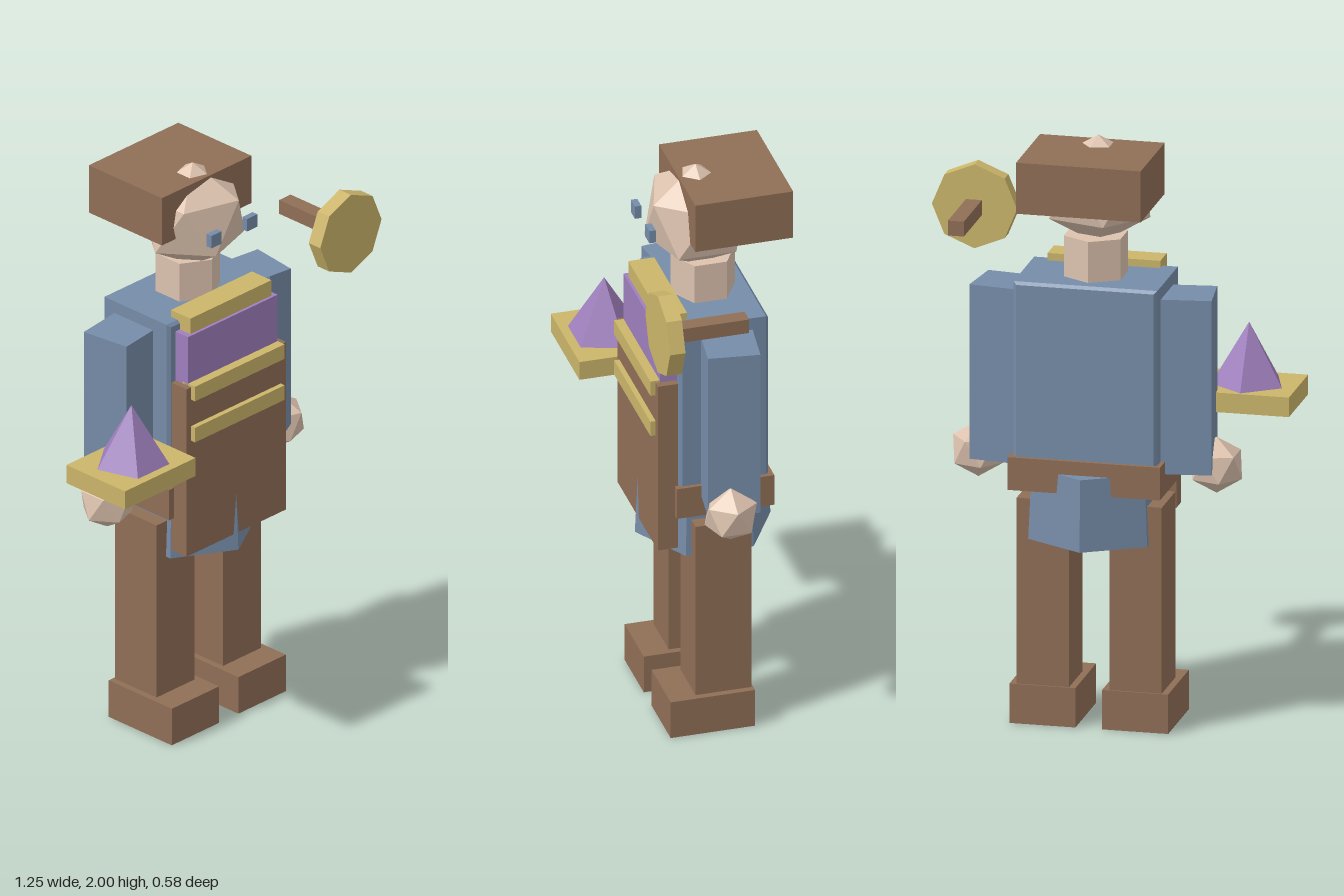
import * as THREE from 'three';

const mat = (name, color) => Object.assign(
  new THREE.MeshStandardMaterial({ color, flatShading: true }), { name });

export function createModel() {
  const brown = mat('brown leather', 0x8f6e56);
  const blue = mat('blue cloth', 0x768ca8);
  const gold = mat('gold', 0xcbb56a);
  const purple = mat('purple', 0x9f7fbd);
  const skin = mat('skin', 0xdcc2ae);

  const CX = 0.01; // body centre line
  const model = new THREE.Group();
  model.name = 'figure';

  const add = (name, geometry, material, x, y, z) => {
    const mesh = new THREE.Mesh(geometry, material);
    mesh.name = name;
    mesh.position.set(x, y, z);
    model.add(mesh);
    return mesh;
  };
  // box given by its min and max on each axis
  const box = (name, material, [x0, x1], [y0, y1], [z0, z1]) =>
    add(name, new THREE.BoxGeometry(x1 - x0, y1 - y0, z1 - z0), material,
      (x0 + x1) / 2, (y0 + y1) / 2, (z0 + z1) / 2);
  // icosahedron standing on a corner
  const ico = (r) => new THREE.IcosahedronGeometry(r, 0)
    .rotateZ(-Math.atan(2 / (1 + Math.sqrt(5))));

  // legs, boots, arms, hands and eyes, one set per side
  for (const s of [-1, 1]) {
    const side = s < 0 ? 'right' : 'left';
    const at = (a, b) => [CX + s * a, CX + s * b].sort((p, q) => p - q);
    box(side + 'Boot', brown, at(0.045, 0.268), [0, 0.135], [-0.143, 0.146]);
    box(side + 'Leg', brown, at(0.068, 0.245), [0.12, 0.772], [-0.137, 0.054]);
    const arm = add(side + 'Arm', new THREE.BoxGeometry(0.185, 0.598, 0.175), blue,
      CX + s * 0.306, 1.188, -0.045);
    arm.rotation.y = -s * 0.13;
    add(side + 'Hand', ico(0.096), skin, CX + s * 0.402, 0.897, -0.02);
    box(side + 'Eye', blue, at(0.06, 0.108), [1.79, 1.836], [0.15, 0.172]);
  }

  // hexagonal skirt, a corner facing forward
  add('skirt', new THREE.CylinderGeometry(0.22, 0.232, 0.245, 6), blue, CX, 0.763, -0.042);
  box('belt', brown, [-0.247, 0.267], [0.82, 0.932], [-0.212, 0.122]);

  // torso with a small chamfer
  const B = 0.01, w = 0.2425 - B, h = 0.322 - B, d = 0.305;
  const outline = new THREE.Shape();
  outline.moveTo(-w, -h).lineTo(w, -h).lineTo(w, h).lineTo(-w, h);
  outline.closePath();
  const torso = new THREE.ExtrudeGeometry(outline, {
    depth: d - 2 * B, bevelEnabled: true, bevelSize: B, bevelThickness: B, bevelSegments: 1,
  });
  add('torso', torso.center(), blue, CX, 1.208, -0.045);

  // chest panel, apron, bands and collar
  box('chestPanel', purple, [-0.202, 0.219], [1.2, 1.498], [0.09, 0.166]);
  box('apron', brown, [-0.224, 0.245], [0.698, 1.318], [0.112, 0.18]);
  for (const y of [1.147, 1.299])
    box('goldBand', gold, [-0.202, 0.219], [y - 0.027, y + 0.027], [0.14, 0.198]);
  box('collar', gold, [-0.181, 0.2], [1.498, 1.555], [0.067, 0.156]);

  // neck, head and hat
  add('neck', new THREE.CylinderGeometry(0.11, 0.11, 0.2, 6), skin, CX, 1.57, -0.042);
  add('head', ico(0.187), skin, 0.008, 1.813, -0.018).scale.x = 1.05;
  box('hat', brown, [-0.201, 0.22], [1.793, 1.968], [-0.29, 0.045]);

  // tray with a five-sided pyramid beside the right hand
  box('tray', gold, [-0.626, -0.294], [1.064, 1.131], [0.022, 0.29]);
  add('pyramid', new THREE.ConeGeometry(0.126, 0.209, 5).rotateY(Math.PI), purple,
    -0.459, 1.2355, 0.157);

  // rod ending in an eight-sided disc above the left hand
  box('rod', brown, [0.453, 0.507], [1.629, 1.68], [-0.055, 0.2]);
  add('disc', new THREE.CylinderGeometry(0.144, 0.144, 0.053, 8).rotateX(Math.PI / 2), gold,
    0.478, 1.657, 0.223);

  return model;
}
